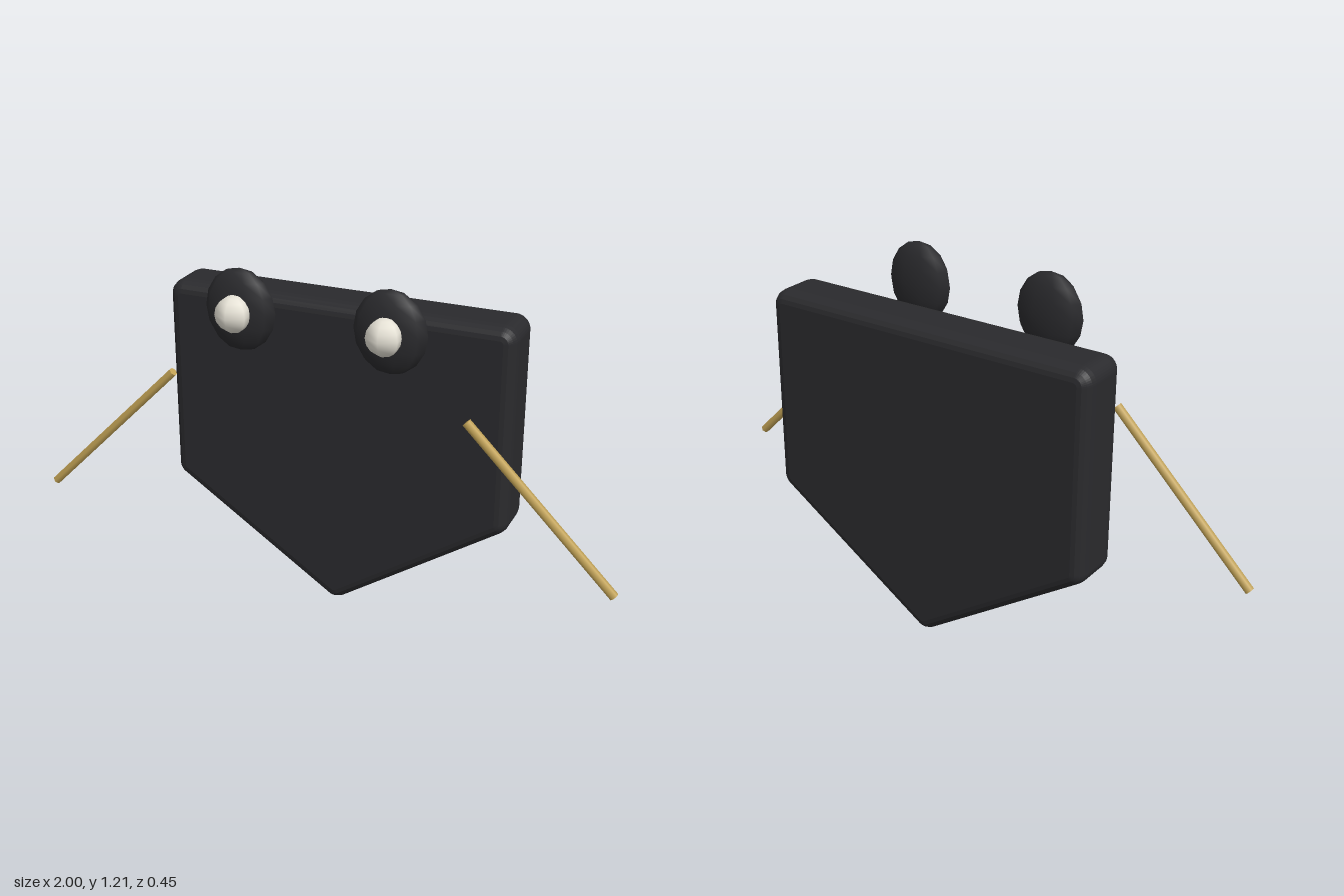
import * as THREE from 'three';

const mat = (color) => new THREE.MeshStandardMaterial({ color });

// Outline through the given corners, each rounded with an arc of radius r (corners run anticlockwise)
function roundedOutline(corners, r) {
  const shape = new THREE.Shape();
  const n = corners.length;
  const normalAngle = (a, b) => Math.atan2(b[1] - a[1], b[0] - a[0]) - Math.PI / 2;
  corners.forEach((c, i) => {
    const start = normalAngle(corners[(i + n - 1) % n], c);
    const end = normalAngle(c, corners[(i + 1) % n]);
    shape.absarc(c[0], c[1], r, start, end, false);
  });
  shape.closePath();
  return shape;
}

export function createModel() {
  const model = new THREE.Group();
  const black = mat(0x2a2a2d);
  const ivory = mat(0xe6e2d6);
  const gold = mat(0xc4a456);

  const add = (name, geometry, material, x, y, z) => {
    const mesh = new THREE.Mesh(geometry, material);
    mesh.name = name;
    mesh.position.set(x, y, z);
    model.add(mesh);
    return mesh;
  };

  // Five-cornered plate with rounded rims
  const corners = [[0, 0.05], [0.545, 0.41], [0.545, 1.025], [-0.545, 1.025], [-0.545, 0.41]];
  const plate = new THREE.ExtrudeGeometry(roundedOutline(corners, 0.012), {
    depth: 0.1, bevelThickness: 0.048, bevelSize: 0.038, bevelSegments: 4, curveSegments: 5,
  });
  add('bodyPlate', plate, black, 0, 0, -0.18);

  // Flattened eyes with round pupils, and slanting rods on each side
  const eye = new THREE.SphereGeometry(1, 10, 8).scale(0.12, 0.135, 0.047);
  const pupil = new THREE.SphereGeometry(0.06, 6, 8).rotateY(Math.PI / 2);
  const rod = new THREE.CylinderGeometry(0.015, 0.015, 0.693, 6);
  for (const [side, s] of [['left', 1], ['right', -1]]) {
    add(side + 'Eye', eye, black, 0.25 * s, 1.075, 0.118);
    add(side + 'Pupil', pupil, ivory, 0.25 * s, 1.075, 0.165);
    add(side + 'Rod', rod, gold, 0.745 * s, 0.58, 0.12).rotation.z = s * Math.PI / 4;
  }
  return model;
}
